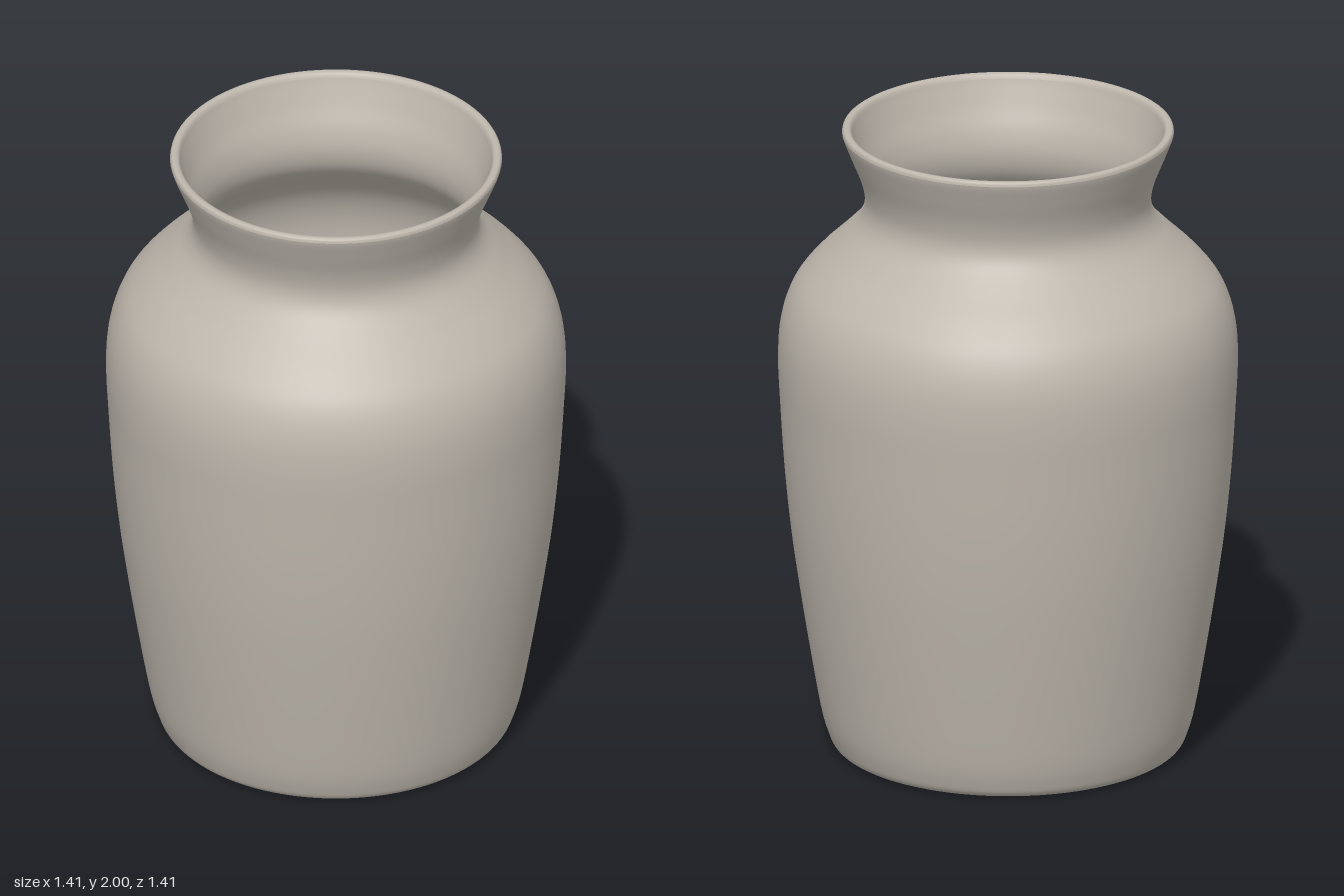
import * as THREE from 'three';

export function createModel() {
  const vase = new THREE.Group();
  vase.name = 'vase';
  const clay = new THREE.MeshStandardMaterial({ color: 0xbdb6ac });
  clay.name = 'warm grey clay';

  // Turns a smooth curve through [radius, height] points around the y axis
  function turn(name, profile, samples) {
    const curve = new THREE.SplineCurve(profile.map(([r, y]) => new THREE.Vector2(r, y)));
    const points = curve.getPoints(samples);
    points.forEach((p) => { p.x = Math.max(p.x, 0); p.y = THREE.MathUtils.clamp(p.y, 0, 2); });
    const mesh = new THREE.Mesh(new THREE.LatheGeometry(points, 96), clay);
    mesh.name = name;
    vase.add(mesh);
  }

  // Underside with a shallow recess
  turn('base', [[0, 0.02], [0.16, 0.02], [0.31, 0.02], [0.35, 0.008], [0.41, 0.001], [0.5, 0]], 30);

  // Outer wall: rounded foot, tapering body, shoulder, neck and flared lip
  turn('outerWall', [
    [0.5, 0], [0.535, 0.015], [0.553, 0.05], [0.575, 0.13], [0.605, 0.3], [0.637, 0.5],
    [0.665, 0.7], [0.685, 0.9], [0.698, 1.1], [0.705, 1.26], [0.695, 1.38], [0.66, 1.48],
    [0.598, 1.56], [0.52, 1.635], [0.46, 1.7], [0.439, 1.76], [0.45, 1.83], [0.481, 1.91],
    [0.503, 1.965], [0.509, 1.985],
  ], 100);

  // Rounded rim joining the two walls
  turn('rim', [[0.509, 1.985], [0.506, 1.996], [0.496, 2], [0.484, 1.996], [0.478, 1.985]], 12);

  // Inner wall and floor, running down from the rim
  turn('innerWall', [
    [0.478, 1.985], [0.47, 1.96], [0.448, 1.9], [0.42, 1.83], [0.41, 1.76], [0.43, 1.69],
    [0.49, 1.62], [0.57, 1.545], [0.63, 1.465], [0.665, 1.37], [0.675, 1.26], [0.668, 1.1],
    [0.655, 0.9], [0.635, 0.7], [0.607, 0.5], [0.575, 0.3], [0.545, 0.14], [0.52, 0.075],
    [0.47, 0.05], [0.25, 0.05], [0, 0.05],
  ], 100);

  return vase;
}
